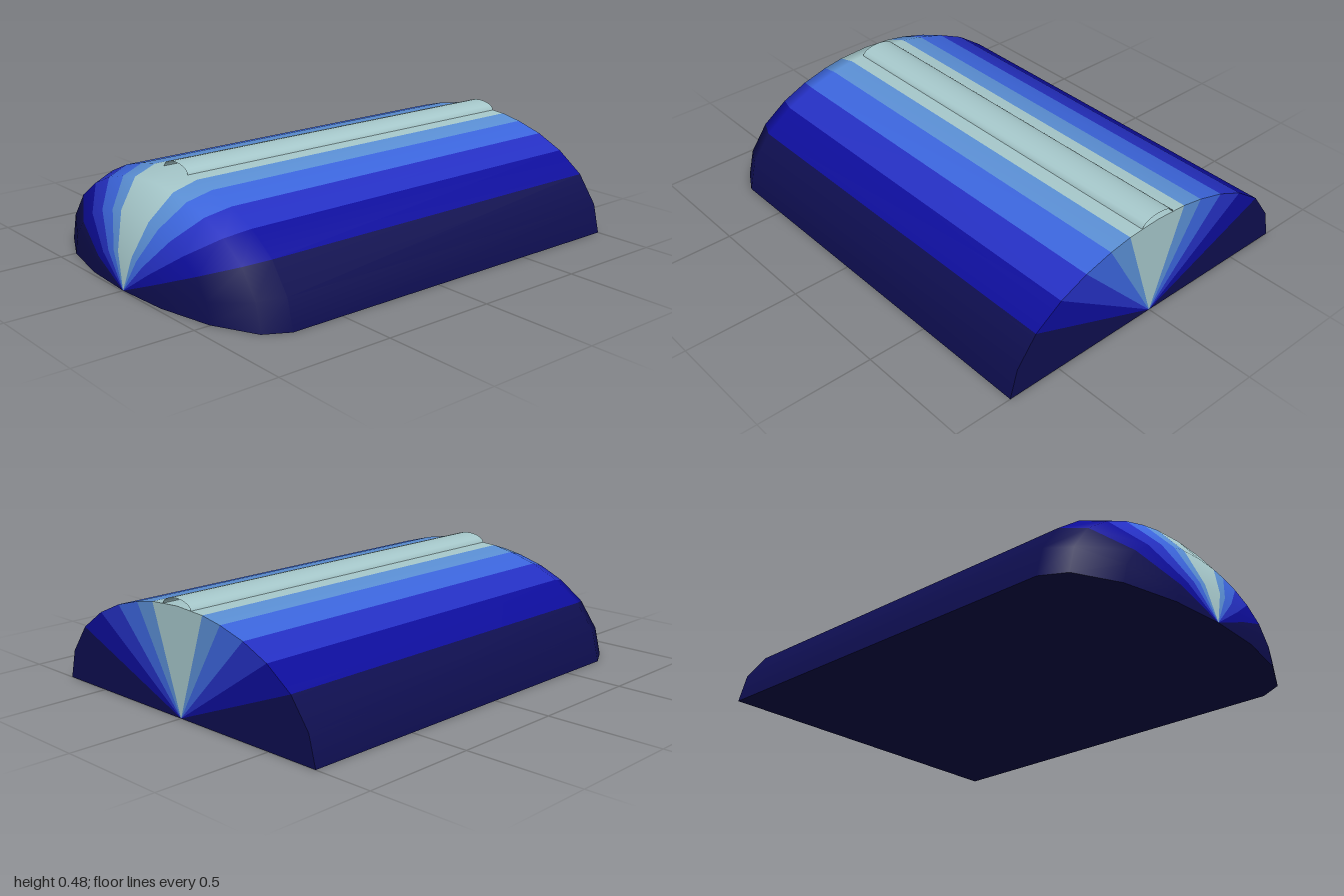
import * as THREE from 'three';

const mat = (name, color, side = THREE.FrontSide) => {
  const m = new THREE.MeshStandardMaterial({ color, side });
  m.name = name;
  return m;
};

// half of the arched cross-section, from the lower edge to the crown
const HALF = [[0.742, 0], [0.71, 0.125], [0.622, 0.245], [0.5, 0.33],
  [0.375, 0.385], [0.25, 0.42], [0.15, 0.438], [0, 0.447]];
const ARCH = [...HALF, ...HALF.slice(0, -1).reverse().map(([x, y]) => [-x, y])];
const BANDS = ARCH.length - 1;
// rings along the length: [z, scale], closing to a point at the nose
const RINGS = [[-1, 1], [0.735, 1], [0.838, 0.923], [0.93, 0.67], [0.982, 0.337], [0.997, 0]];
// material index of each band, from the edge to the crown
const BAND_COLOR = [0, 0, 1, 2, 3, 4, 5];
const colorOf = (j) => BAND_COLOR[Math.min(j, BANDS - 1 - j)];

function makeGeometry(positions, index) {
  const g = new THREE.BufferGeometry();
  g.setAttribute('position', new THREE.Float32BufferAttribute(positions, 3));
  g.setIndex(index);
  g.computeVertexNormals();
  return g;
}

// arched skin with one colour group per lengthwise band
function shellGeometry() {
  const pos = [], index = [], groups = [];
  for (const [z, s] of RINGS) for (const [x, y] of ARCH) pos.push(x * s, y * s, z);
  for (let j = 0; j < BANDS; j++) {
    const start = index.length;
    for (let i = 0; i < RINGS.length - 1; i++) {
      const a = i * ARCH.length + j, c = a + ARCH.length;
      index.push(a, a + 1, c);
      if (i < RINGS.length - 2) index.push(a + 1, c + 1, c);
    }
    groups.push([start, index.length - start, colorOf(j)]);
  }
  const g = makeGeometry(pos, index);
  groups.forEach((q) => g.addGroup(...q));
  return g;
}

// flat rear face: a fan of coloured wedges
function rearGeometry() {
  const pos = [0, 0, -1], index = [];
  for (const [x, y] of ARCH) pos.push(x, y, -1);
  for (let j = 0; j < BANDS; j++) index.push(0, j + 2, j + 1);
  const g = makeGeometry(pos, index);
  for (let j = 0; j < BANDS; j++) g.addGroup(j * 3, 3, colorOf(j));
  return g;
}

// flat underside following the nose outline
function undersideGeometry() {
  const pos = [], index = [], w = HALF[0][0];
  for (const [z, s] of RINGS) pos.push(w * s, 0, z, -w * s, 0, z);
  for (let i = 0; i < RINGS.length - 1; i++) {
    const a = i * 2;
    index.push(a, a + 2, a + 1);
    if (i < RINGS.length - 2) index.push(a + 1, a + 2, a + 3);
  }
  return makeGeometry(pos, index);
}

// low rounded rail, open at both ends
function railGeometry() {
  const pos = [], index = [], n = 10;
  for (const z of [-1, 0.735]) {
    for (let j = 0; j <= n; j++) {
      const t = (j / n) * Math.PI;
      pos.push(0.085 * Math.cos(t), 0.441 + 0.036 * Math.sin(t), z);
    }
  }
  for (let j = 0; j < n; j++) {
    const c = j + n + 1;
    index.push(j, j + 1, c, j + 1, c + 1, c);
  }
  return makeGeometry(pos, index);
}

export function createModel() {
  const model = new THREE.Group();
  model.name = 'archedBody';
  const colors = [
    mat('navy', 0x0e0e50), mat('deep blue', 0x0d0d9c), mat('indigo blue', 0x2530c4),
    mat('royal blue', 0x3c66de), mat('steel blue', 0x5b90d6), mat('pale aqua', 0xa6c8cb),
  ];
  const railColor = mat('rail aqua', 0xa6c8cb, THREE.DoubleSide);
  const add = (name, geometry, material) => {
    const mesh = new THREE.Mesh(geometry, material);
    mesh.name = name;
    model.add(mesh);
  };
  add('shell', shellGeometry(), colors);
  add('rearFace', rearGeometry(), colors);
  add('underside', undersideGeometry(), colors[0]);
  add('topRail', railGeometry(), railColor);
  return model;
}
